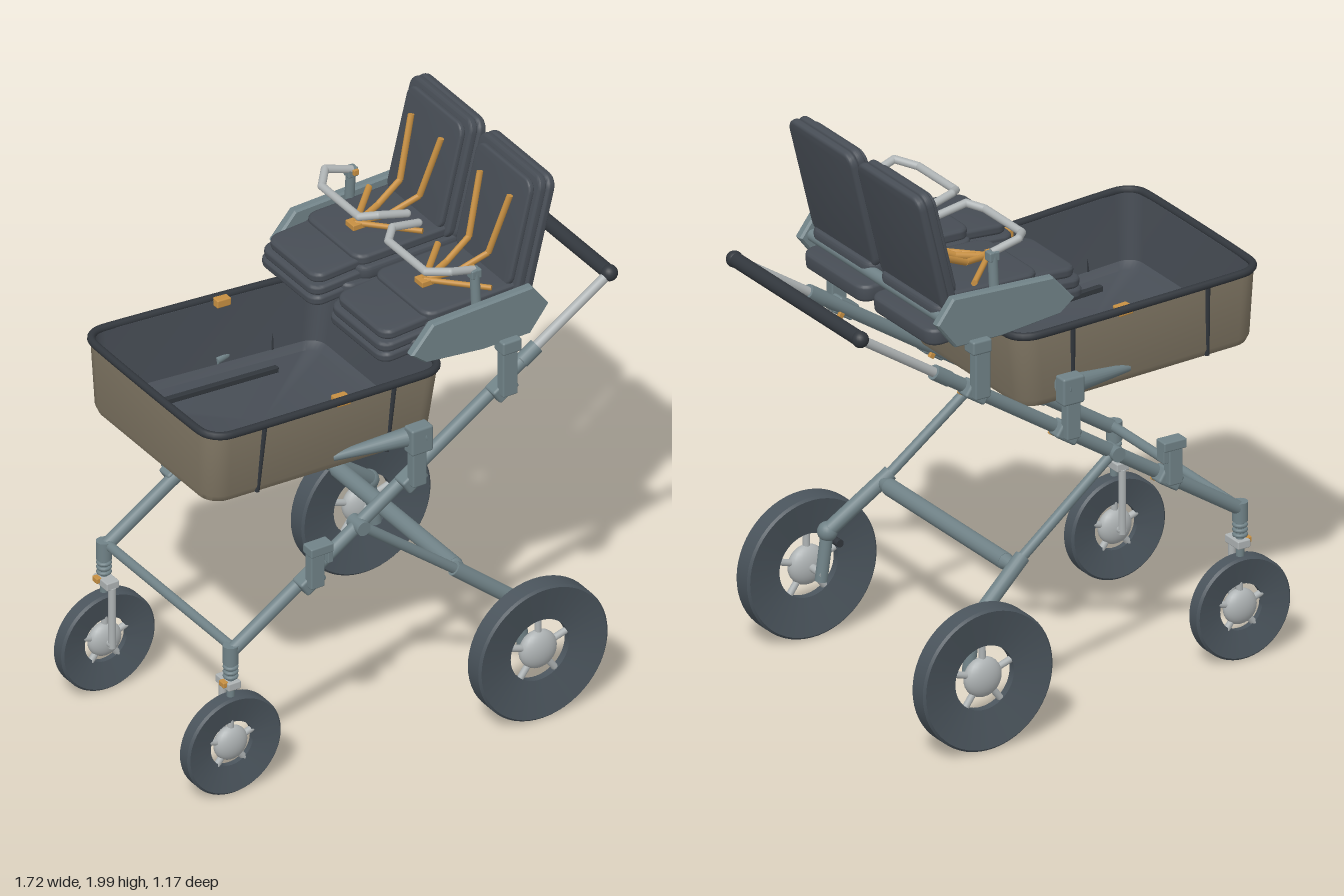
import * as THREE from 'three';
import { toCreasedNormals } from 'three/addons/utils/BufferGeometryUtils.js';
import { RoundedBoxGeometry } from 'three/addons/geometries/RoundedBoxGeometry.js';

const mat = (name, color) => Object.assign(new THREE.MeshStandardMaterial({ color }), { name });
const M = {
  frame: mat('frame grey', 0x708287),
  light: mat('light metal', 0xaeb3b4),
  fabric: mat('charcoal fabric', 0x474d55),
  trim: mat('black trim', 0x32373d),
  tyre: mat('tyre rubber', 0x4a545c),
  tan: mat('tan canvas', 0x837966),
  orange: mat('orange webbing', 0xc68f42),
};
const V = (a) => new THREE.Vector3(...a);

export function createModel() {
  const model = new THREE.Group();
  const add = (name, geo, m, pos = [0, 0, 0], rotZ = 0, parent = model) => {
    const mesh = new THREE.Mesh(geo, m);
    mesh.name = name;
    mesh.position.set(...pos);
    mesh.rotation.z = rotZ;
    parent.add(mesh);
    return mesh;
  };
  // Straight round bar between two points
  const rod = (name, p, q, r, m, r2 = r, parent = model) => {
    const a = V(p), d = V(q).sub(a);
    const mesh = add(name, new THREE.CylinderGeometry(r2, r, d.length(), 18), m, a.clone().addScaledVector(d, 0.5).toArray(), 0, parent);
    mesh.quaternion.setFromUnitVectors(new THREE.Vector3(0, 1, 0), d.normalize());
    return mesh;
  };
  const box = (name, c, s, m, rotZ = 0, parent = model) =>
    add(name, new RoundedBoxGeometry(...s, 2, Math.min(...s) * 0.15), m, c, rotZ, parent);
  const ball = (name, c, r, m) => add(name, new THREE.SphereGeometry(r, 20, 14), m, c);
  // Flat strap through a few points
  const strap = (name, pts, m) => pts.slice(1).forEach((q, i) => {
    const b = rod(name, pts[i], q, 0.012, m);
    b.scale.set(1, 1, 0.8);
  });

  // Rounded rectangle outline
  const outline = (hx, hz, r, n = 6) => {
    const pts = [];
    [[1, 1], [-1, 1], [-1, -1], [1, -1]].forEach(([sx, sz], k) => {
      for (let i = 0; i <= n; i++) {
        const t = (k + i / n) * Math.PI / 2;
        pts.push([sx * (hx - r) + r * Math.cos(t), sz * (hz - r) + r * Math.sin(t)]);
      }
    });
    return pts;
  };
  // Padded slab lying flat, centred, thickness along y
  const pad = (name, len, wid, t, pos, rotZ) => {
    const bev = Math.min(0.012, t * 0.4);
    const shape = new THREE.Shape(outline(len / 2 - bev, wid / 2 - bev, 0.035).map((p) => new THREE.Vector2(...p)));
    const geo = new THREE.ExtrudeGeometry(shape, { depth: t - 2 * bev, bevelThickness: bev, bevelSize: bev, bevelSegments: 3 });
    geo.translate(0, 0, bev - t / 2).rotateX(-Math.PI / 2);
    return add(name, toCreasedNormals(geo, 0.6), M.fabric, pos, rotZ);
  };

  // Wheels: dished tyre, spokes and domed hub
  const wheel = (name, x, z, R, hole, w, hub) => {
    const g = new THREE.Group();
    g.name = name;
    g.position.set(x, R, z);
    model.add(g);
    const d = w * 0.33, h = w / 2;
    const prof = [[hole, d - h], [R - 0.008, -h], [R, 0.008 - h], [R, h - 0.008], [R - 0.008, h], [hole, h - d], [hole, d - h]];
    const geo = new THREE.LatheGeometry(prof.map((p) => new THREE.Vector2(...p)), 56);
    add('tyre', toCreasedNormals(geo.rotateX(Math.PI / 2), 0.5), M.tyre, [0, 0, 0], 0, g);
    add('hub', new THREE.SphereGeometry(hub, 24, 16), M.light, [0, 0, 0], 0, g).scale.z = 0.55;
    for (let i = 0; i < 5; i++) {
      const t = i * Math.PI * 0.4 + 0.3, c = Math.cos(t), s = Math.sin(t);
      rod('spoke', [c * hub * 0.7, s * hub * 0.7, 0], [c * (hole + 0.01), s * (hole + 0.01), 0], 0.012, M.light, 0.012, g);
    }
  };

  // Main tube line and its height at x
  const tubeY = (x) => 0.55 + (x + 0.665) * 0.652;

  for (const s of [1, -1]) {
    wheel('rearWheel', 0.445, s * 0.545, 0.257, 0.116, 0.08, 0.072);
    wheel('frontWheel', -0.675, s * 0.388, 0.186, 0.084, 0.06, 0.064);

    // Side frame tubes
    rod('sideTube', [-0.67, tubeY(-0.67), s * 0.39], [0.53, tubeY(0.53), s * 0.39], 0.024, M.frame);
    rod('handleTube', [0.5, tubeY(0.5), s * 0.39], [0.83, tubeY(0.83), s * 0.39], 0.017, M.light);
    rod('handleCollar', [0.48, tubeY(0.48), s * 0.39], [0.54, tubeY(0.54), s * 0.39], 0.027, M.frame);
    ball('handleEnd', [0.83, tubeY(0.83), s * 0.39], 0.029, M.trim);

    // Rear leg, pivot and axle arm
    rod('legPivot', [-0.17, 0.875, s * 0.36], [-0.17, 0.875, s * 0.43], 0.026, M.frame);
    rod('rearLeg', [-0.17, 0.875, s * 0.395], [0.25, 0.545, s * 0.41], 0.018, M.frame);
    rod('rearLegSleeve', [0.2, 0.585, s * 0.408], [0.42, 0.41, s * 0.45], 0.027, M.frame);
    ball('legKnuckle', [0.42, 0.405, s * 0.455], 0.035, M.frame);
    rod('axleArm', [0.42, 0.41, s * 0.455], [0.445, 0.23, s * 0.455], 0.022, M.frame);
    rod('rearAxle', [0.445, 0.257, s * 0.44], [0.445, 0.257, s * 0.545], 0.014, M.light);
    rod('brakePin', [0.385, 0.36, s * 0.43], [0.385, 0.36, s * 0.49], 0.014, M.trim);

    // Front post with spring and single-sided fork
    rod('frontPost', [-0.675, 0.57, s * 0.39], [-0.675, 0.5, s * 0.39], 0.027, M.frame);
    rod('springCore', [-0.675, 0.52, s * 0.39], [-0.675, 0.37, s * 0.39], 0.014, M.frame);
    for (let i = 0; i < 4; i++) {
      add('springCoil', new THREE.TorusGeometry(0.02, 0.007, 8, 18).rotateX(Math.PI / 2), M.frame, [-0.675, 0.45 + i * 0.018, s * 0.39]);
    }
    box('forkCrown', [-0.675, 0.42, s * 0.375], [0.05, 0.03, 0.085], M.light);
    box('swivelLock', [-0.703, 0.427, s * 0.39], [0.02, 0.02, 0.03], M.orange);
    rod('forkBlade', [-0.675, 0.41, s * 0.34], [-0.675, 0.175, s * 0.34], 0.013, M.light);
    rod('frontAxle', [-0.675, 0.186, s * 0.335], [-0.675, 0.186, s * 0.39], 0.014, M.light);

    // Mounting brackets: lower front, basket and seat
    for (const [x, top, w] of [[-0.375, 0.86, 0.055], [0.03, 1.14, 0.055], [0.39, 1.4, 0.06]]) {
      const y = tubeY(x);
      box('bracketPost', [x, (y + top) / 2, s * 0.445], [w, top - y + 0.02, 0.04], M.frame);
      box('bracketClamp', [x, y, s * 0.41], [0.09, 0.06, 0.06], M.frame, 0.577);
      box('bracketButton', [x + 0.03, y - 0.01, s * 0.372], [0.02, 0.018, 0.014], M.orange, 0.577);
    }
    box('lowerBracketCap', [-0.365, 0.88, s * 0.45], [0.09, 0.035, 0.055], M.frame);
    box('lowerBracketTab', [-0.33, 0.845, s * 0.45], [0.02, 0.05, 0.045], M.frame);
    box('basketBracketCap', [0.035, 1.175, s * 0.447], [0.085, 0.1, 0.055], M.frame);
    box('seatBracketCap', [0.395, 1.42, s * 0.44], [0.075, 0.05, 0.06], M.frame);
    rod('basketArm', [-0.25, 1.15, s * 0.36], [0.06, 1.185, s * 0.44], 0.014, M.frame, 0.038).name = 'basketArm';

    // Angular plate on the outer side of the seats
    const plate = new THREE.Shape([[0.02, 1.5], [0.07, 1.46], [0.3, 1.435], [0.48, 1.435], [0.55, 1.525], [0.49, 1.605], [0.1, 1.59]]
      .map((p) => new THREE.Vector2(...p)));
    add('seatSidePlate', new THREE.ExtrudeGeometry(plate, { depth: 0.022, bevelThickness: 0.008, bevelSize: 0.006, bevelSegments: 1 }),
      M.frame, [0, 0, s * 0.424 - 0.011]);

    // Seat cushions
    const zc = s * 0.212;
    pad('seatBase', 0.52, 0.385, 0.06, [0.3, 1.475, zc], -0.06);
    pad('seatCushion', 0.42, 0.38, 0.05, [0.32, 1.54, zc], 0.02);
    pad('seatPad', 0.4, 0.34, 0.04, [0.31, 1.58, zc], 0.02);
    [[0.26, 0.35, 1.487], [0.25, 0.34, 1.522], [0.22, 0.31, 1.558]].forEach(([l, w, y]) =>
      pad('frontCushion', l, w, 0.036, [0.06, y, zc], 0.07));

    // Layered backrest
    const tilt = 1.33, along = [Math.cos(tilt), Math.sin(tilt)];
    [[0.455, 0.395, 0.032, -0.026, 0], [0.45, 0.385, 0.03, 0.004, 0], [0.4, 0.335, 0.022, 0.029, 0]].forEach(([l, w, t, o]) =>
      pad('backrest', l, w, t, [0.519 - along[1] * o, 1.772 + along[0] * o, zc], tilt));

    // Harness
    box('harnessBuckle', [0.21, 1.612, zc], [0.05, 0.022, 0.05], M.orange);
    for (const k of [1, -1]) {
      strap('lapStrap', [[0.21, 1.615, zc], [0.37, 1.615, zc + k * 0.165]], M.orange);
      strap('shoulderStrap', [[0.22, 1.615, zc], [0.32, 1.63, zc + k * 0.035], [0.425, 1.68, zc + k * 0.06], [0.49, 1.9, zc + k * 0.092]], M.orange);
    }

    // Bumper bar over the lap
    const bar = [[0.3, 1.71, 0.375], [0.2, 1.74, 0.385], [0.145, 1.725, 0.32], [0.145, 1.725, 0.09], [0.19, 1.74, 0.045], [0.3, 1.715, 0.035]];
    const barPts = bar.map(([x, y, z]) => [x, y, s * z]);
    barPts.slice(1).forEach((q, i) => {
      rod('bumperBar', barPts[i], q, 0.014, M.light);
      ball('bumperBend', q, 0.014, M.light);
    });
    rod('bumperPost', [0.3, 1.58, s * 0.39], [0.3, 1.715, s * 0.38], 0.017, M.frame);
    box('bumperJoint', [0.3, 1.7, s * 0.38], [0.04, 0.035, 0.035], M.frame);
    box('bumperButton', [0.305, 1.705, s * 0.358], [0.02, 0.02, 0.012], M.orange);
  }

  // Cross bars
  rod('handlebar', [0.83, tubeY(0.83), -0.39], [0.83, tubeY(0.83), 0.39], 0.026, M.trim);
  rod('frontCrossbar', [-0.665, 0.555, -0.39], [-0.665, 0.555, 0.39], 0.017, M.frame);
  rod('rearCrossbar', [0.235, 0.558, -0.36], [0.235, 0.558, 0.36], 0.03, M.frame);
  for (const s of [1, -1]) rod('rearCrossbarEnd', [0.235, 0.558, s * 0.355], [0.235, 0.558, s * 0.41], 0.03, M.frame, 0.017);
  rod('seatCrossbar', [0.51, 1.53, -0.42], [0.51, 1.53, 0.42], 0.022, M.frame);

  // Basket: rounded tub, tilted slightly and narrower toward the seats
  const basket = new THREE.Group();
  basket.name = 'basket';
  basket.position.set(-0.298, 1.1, 0);
  basket.rotation.z = -0.053;
  model.add(basket);
  const narrow = (x) => 1 - 0.04 * (x / 0.48 + 1) * 0.9;
  const ring = (hx, hz, r, y) => outline(hx, hz, r).map(([x, z]) => [x, y, z * narrow(x)]);
  const loft = (rings, floorUp) => {
    const n = rings[0].length, pos = rings.flat(2), idx = [];
    const capRing = floorUp ? rings.length - 1 : 0, c = rings.length * n;
    pos.push(0, rings[capRing][0][1], 0);
    for (let j = 0; j < n; j++) {
      const k = (j + 1) % n, b = capRing * n;
      for (let i = 0; i < rings.length - 1; i++) {
        const p = i * n, q = p + n;
        idx.push(p + j, q + j, p + k, p + k, q + j, q + k);
      }
      idx.push(c, floorUp ? b + k : b + j, floorUp ? b + j : b + k);
    }
    const geo = new THREE.BufferGeometry();
    geo.setAttribute('position', new THREE.Float32BufferAttribute(pos, 3));
    geo.setIndex(idx);
    return toCreasedNormals(geo, 0.7);
  };
  add('basketOuter', loft([ring(0.425, 0.35, 0.06, 0), ring(0.445, 0.372, 0.07, 0.01), ring(0.455, 0.384, 0.075, 0.035), ring(0.476, 0.402, 0.08, 0.28)]), M.tan, [0, 0, 0], 0, basket);
  add('basketLining', loft([ring(0.476, 0.402, 0.08, 0.28), ring(0.462, 0.388, 0.07, 0.28), ring(0.44, 0.37, 0.06, 0.04), ring(0.415, 0.345, 0.05, 0.018)], true), M.fabric, [0, 0, 0], 0, basket);
  const rimPath = new THREE.CatmullRomCurve3(ring(0.474, 0.4, 0.08, 0.283).map(V), true, 'centripetal');
  add('basketRim', new THREE.TubeGeometry(rimPath, 160, 0.014, 10, true), M.trim, [0, 0, 0], 0, basket);
  for (const s of [1, -1]) {
    for (const x of [-0.26, 0.265]) {
      const n = narrow(x) * s;
      rod('basketStrap', [x, 0.012, n * 0.375], [x, 0.275, n * 0.402], 0.009, M.trim, 0.009, basket);
    }
    box('floorBar', [-0.01, 0.03, s * 0.25], [0.46, 0.02, 0.022], M.trim, 0, basket);
    box('basketClip', [0.06, 0.277, s * 0.37], [0.055, 0.03, 0.045], M.orange, 0, basket);
  }
  return model;
}
